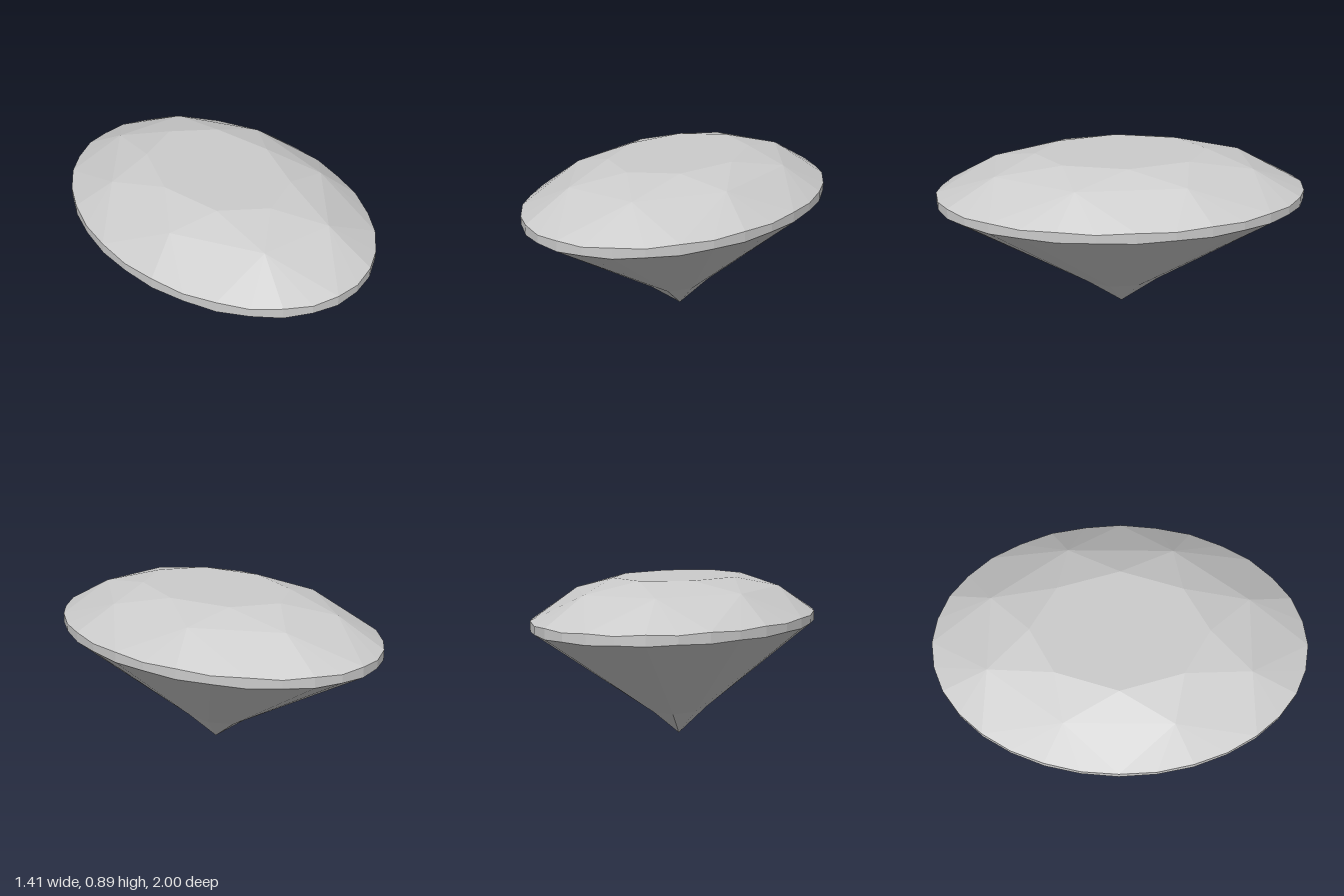
import * as THREE from 'three';

const WIDTH = 0.707; // oval: x radius relative to z radius
const STEP = Math.PI / 16; // 32 girdle steps around

// Point on an oval ring: girdle step k, relative radius r, height y
function ring(k, r, y) {
  const a = k * STEP;
  return [WIDTH * r * Math.sin(a), y, r * Math.cos(a)];
}

// Crown, girdle and pavilion meet points; the girdle edge dips between facet corners
const tableAt = (k) => ring(k, 0.465, 0.886);
const starAt = (k) => ring(k, 0.735, 0.825);
const girdleTop = (k) => ring(k, 1, k % 2 ? 0.677 : 0.684);
const girdleBottom = (k) => ring(k, 1, k % 2 ? 0.634 : 0.629);
const lowerAt = (k) => ring(k, 0.208, 0.148);
const culet = [0, 0, 0];

// Flat-shaded mesh from facets, each a fan of points counter-clockwise from outside
function facetMesh(name, facets) {
  const pos = [];
  for (const f of facets) {
    for (let i = 1; i < f.length - 1; i++) pos.push(...f[0], ...f[i], ...f[i + 1]);
  }
  const geo = new THREE.BufferGeometry();
  geo.setAttribute('position', new THREE.Float32BufferAttribute(pos, 3));
  geo.computeVertexNormals();
  const mat = new THREE.MeshStandardMaterial({ color: 0xcccccc, flatShading: true });
  const mesh = new THREE.Mesh(geo, mat);
  mesh.name = name;
  return mesh;
}

export function createModel() {
  const gem = new THREE.Group();
  gem.name = 'ovalGem';
  const table = [[]], crown = [], girdle = [], pavilion = [];

  // Eight-fold crown and pavilion
  for (let m = 0; m < 32; m += 4) {
    const s = m + 2;
    table[0].push(tableAt(m));
    // star facet
    crown.push([tableAt(m), starAt(s), tableAt(m + 4)]);
    // main kite, folded slightly across its width
    crown.push([tableAt(m), starAt(m - 2), starAt(s)]);
    crown.push([starAt(m - 2), girdleTop(m), starAt(s)]);
    // pavilion main
    pavilion.push([culet, lowerAt(s), lowerAt(m - 2)]);
    pavilion.push([girdleBottom(m), lowerAt(m - 2), lowerAt(s)]);
    // upper and lower halves on both sides of the star point
    for (const k of [m, s]) {
      crown.push([starAt(s), girdleTop(k), girdleTop(k + 1), girdleTop(k + 2)]);
      pavilion.push([lowerAt(s), girdleBottom(k + 2), girdleBottom(k + 1), girdleBottom(k)]);
    }
  }

  // Girdle band
  for (let k = 0; k < 32; k++) {
    girdle.push([girdleBottom(k), girdleBottom(k + 1), girdleTop(k + 1), girdleTop(k)]);
  }

  gem.add(
    facetMesh('table', table),
    facetMesh('crown', crown),
    facetMesh('girdle', girdle),
    facetMesh('pavilion', pavilion)
  );
  return gem;
}
